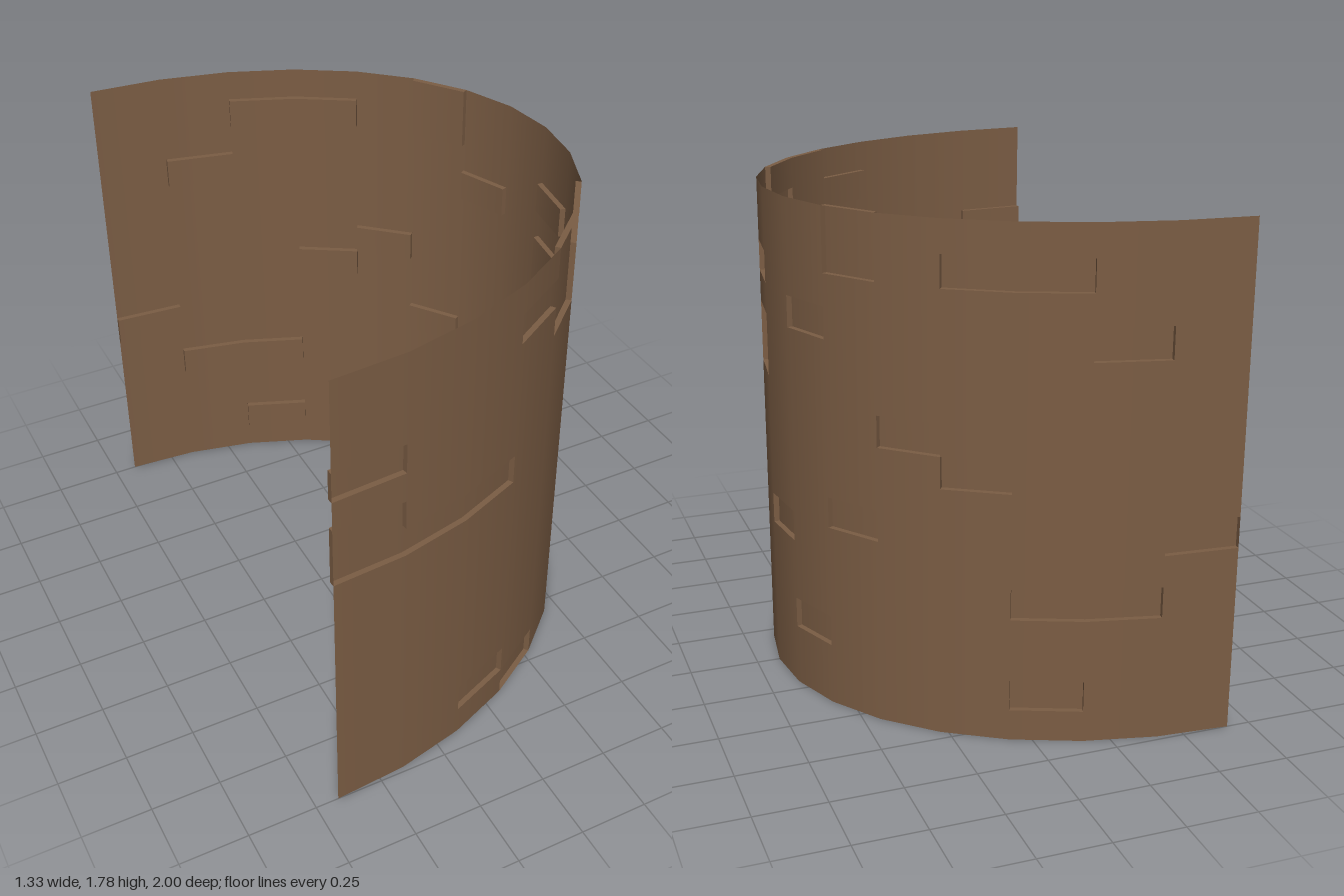
import * as THREE from 'three';

const COLS = 16, ROWS = 16;
const RX = 4 / 3, RZ = 1, HEIGHT = 16 / 9, DEPTH = 0.02;

// Sunken bricks: for each column (front to back), the rows that are pressed in
const SUNKEN = [
  [9, 10, 12], [1, 9], [1, 9], [0, 14], [13, 14, 15], [12, 15], [0, 2], [10, 11, 13],
  [5], [2, 12], [6, 14, 15], [9], [8, 14], [1, 4, 14], [4, 12], [6],
];
// Column 2 carries the low brick; column 1 only the long band
SUNKEN[1] = [9];

const isSunken = (c, r) => c >= 0 && c < COLS && SUNKEN[c].includes(r);

// Half-ellipse plan, k = 0 at the front end
const plan = (k) => {
  const t = Math.PI / 2 - (k * Math.PI) / COLS;
  return new THREE.Vector3(-RX / 2 + RX * Math.cos(t), 0, RZ * Math.sin(t));
};

// Outward normal from the neighbouring wall segments
const normalAt = (k) => {
  const d = plan(Math.min(k + 1, COLS)).sub(plan(Math.max(k - 1, 0)));
  return new THREE.Vector3(-d.z, 0, d.x).normalize();
};

const point = (k, r, depth = 0) => {
  const p = plan(k).addScaledVector(normalAt(k), -depth);
  p.y = (r * HEIGHT) / ROWS;
  return p;
};

// Collects quads with a normal for each corner
function quadBuilder() {
  const pos = [], nor = [];
  return {
    add(p, n) {
      for (const i of [0, 1, 2, 0, 2, 3]) {
        pos.push(p[i].x, p[i].y, p[i].z);
        nor.push(n[i].x, n[i].y, n[i].z);
      }
    },
    mesh(name, material) {
      const g = new THREE.BufferGeometry();
      g.setAttribute('position', new THREE.Float32BufferAttribute(pos, 3));
      g.setAttribute('normal', new THREE.Float32BufferAttribute(nor, 3));
      const m = new THREE.Mesh(g, material);
      m.name = name;
      return m;
    },
  };
}

export function createModel() {
  const group = new THREE.Group();
  group.name = 'curvedWall';
  const brown = new THREE.MeshStandardMaterial({ color: 0x7b5d44, side: THREE.DoubleSide });
  brown.name = 'brown';

  const wall = quadBuilder(), bricks = quadBuilder(), rims = quadBuilder();

  for (let c = 0; c < COLS; c++) {
    for (let r = 0; r < ROWS; r++) {
      const sunk = isSunken(c, r);
      const corners = [[c, r], [c + 1, r], [c + 1, r + 1], [c, r + 1]];
      // Face of the wall or of a sunken brick
      (sunk ? bricks : wall).add(
        corners.map(([k, j]) => point(k, j, sunk ? DEPTH : 0)),
        corners.map(([k]) => normalAt(k)),
      );
      if (!sunk) continue;
      // Rims around the recess, skipped between joined bricks
      const neighbours = [[c, r - 1], [c + 1, r], [c, r + 1], [c - 1, r]];
      neighbours.forEach(([nc, nr], i) => {
        if (isSunken(nc, nr)) return;
        const [a, b] = [corners[i], corners[(i + 1) % 4]];
        const q = [point(...a), point(...b), point(...b, DEPTH), point(...a, DEPTH)];
        const n = q[1].clone().sub(q[0]).cross(q[2].clone().sub(q[0])).normalize();
        rims.add(q, [n, n, n, n]);
      });
    }
  }

  group.add(
    wall.mesh('wall', brown),
    bricks.mesh('sunkenBricks', brown),
    rims.mesh('brickRims', brown),
  );
  return group;
}
